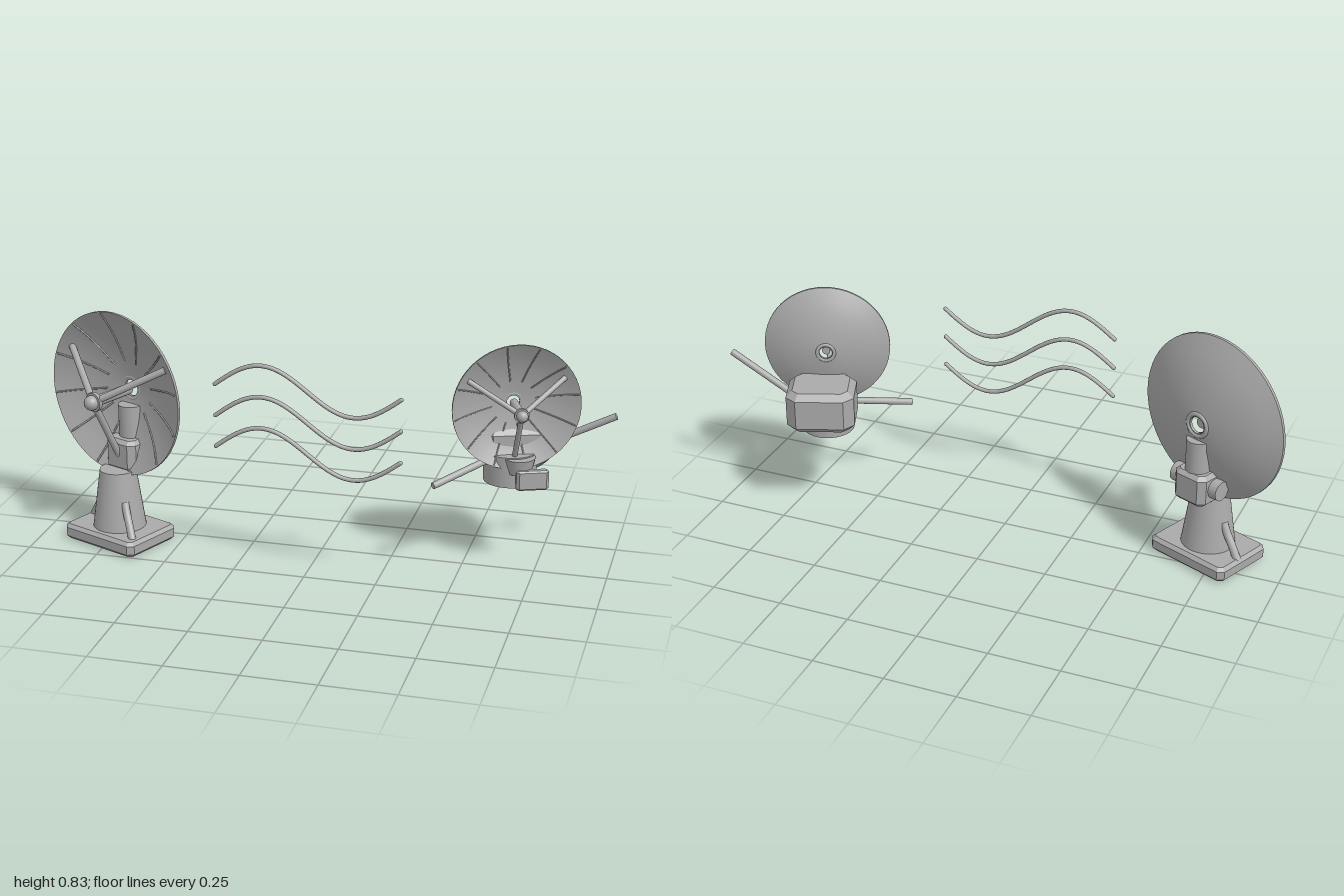
import * as THREE from 'three';
import { toCreasedNormals } from 'three/addons/utils/BufferGeometryUtils.js';

const V = (x, y, z) => new THREE.Vector3(x, y, z);

export function createModel() {
  const metal = new THREE.MeshStandardMaterial({ color: 0xaaaaaa });
  metal.name = 'grey metal';
  const model = new THREE.Group();
  model.name = 'satelliteLink';

  function add(parent, name, geometry, x = 0, y = 0, z = 0) {
    const mesh = new THREE.Mesh(geometry, metal);
    mesh.name = name;
    mesh.position.set(x, y, z);
    parent.add(mesh);
    return mesh;
  }

  function group(name, x, y, z, yaw) {
    const g = new THREE.Group();
    g.name = name;
    g.position.set(x, y, z);
    g.rotation.y = yaw;
    model.add(g);
    return g;
  }

  // Straight round rod between two points
  function rod(parent, name, a, b, r) {
    const mesh = add(parent, name, new THREE.CylinderGeometry(r, r, a.distanceTo(b), 16));
    mesh.position.copy(a).add(b).multiplyScalar(0.5);
    mesh.quaternion.setFromUnitVectors(V(0, 1, 0), b.clone().sub(a).normalize());
    return mesh;
  }

  // Box with every edge cut off at an angle, centred on the origin
  function chamferBox(w, h, d, c) {
    const x = w / 2 - c, y = d / 2 - c;
    const s = new THREE.Shape();
    s.moveTo(-x + c, -y);
    s.lineTo(x - c, -y); s.lineTo(x, -y + c);
    s.lineTo(x, y - c); s.lineTo(x - c, y);
    s.lineTo(-x + c, y); s.lineTo(-x, y - c);
    s.lineTo(-x, -y + c); s.closePath();
    const g = new THREE.ExtrudeGeometry(s, {
      depth: h - 2 * c, bevelEnabled: true, bevelThickness: c, bevelSize: c, bevelSegments: 1
    });
    return g.translate(0, 0, c - h / 2).rotateX(-Math.PI / 2);
  }

  // Bowl profile for a dish of radius 1: radius, depth
  const bowl = [[0.1, -0.29], [0.35, -0.26], [0.6, -0.19], [0.8, -0.11], [1, 0]];

  function dish(name, x, y, z, yaw, radius) {
    const g = group(name, x, y, z, yaw);
    g.scale.setScalar(radius);

    // Thin reflector shell with an open centre
    const back = bowl.map(([r, d]) => new THREE.Vector2(r, d - 0.035));
    const front = bowl.map(([r, d]) => new THREE.Vector2(r, d)).reverse();
    const shell = new THREE.LatheGeometry([...back, ...front, back[0].clone()], 56).rotateX(Math.PI / 2);
    add(g, 'reflector', toCreasedNormals(shell, 0.2));
    add(g, 'hubRing', new THREE.TorusGeometry(0.135, 0.03, 10, 32), 0, 0, -0.31);

    // Radial stiffening ribs on the inside
    for (let i = 0; i < 12; i++) {
      const a = (i + 0.35) * Math.PI / 6;
      const path = new THREE.CatmullRomCurve3(bowl.slice(1).map(([r, d]) =>
        V(r * 0.98 * Math.cos(a), r * 0.98 * Math.sin(a), d)));
      add(g, 'rib', new THREE.TubeGeometry(path, 10, 0.011, 6));
    }

    // Feed horn on a tripod and a central pipe
    const tip = V(0, 0, 0.36);
    for (const deg of [30, 150, 270]) {
      const a = deg * Math.PI / 180;
      rod(g, 'feedStrut', tip, V(0.86 * Math.cos(a), 0.86 * Math.sin(a), -0.085), 0.042);
    }
    rod(g, 'feedPipe', tip, V(0, 0, -0.25), 0.065);
    rod(g, 'feedCollar', V(0, 0, 0.32), V(0, 0, 0.37), 0.115);
    add(g, 'feedHorn', new THREE.SphereGeometry(0.09, 20, 14), 0, 0, 0.39);
  }

  // Ground station: base plate, conical pedestal and mount
  const groundYaw = -0.4;
  const station = group('groundStation', -0.72, 0, 0.088, groundYaw);
  add(station, 'basePlate', chamferBox(0.325, 0.055, 0.245, 0.012), 0, 0.0275, 0);
  add(station, 'pedestal', new THREE.CylinderGeometry(0.064, 0.095, 0.22, 40), 0, 0.155, 0);
  add(station, 'mountHead', chamferBox(0.135, 0.115, 0.13, 0.014), 0, 0.313, -0.065);
  add(station, 'mountColumn', new THREE.CylinderGeometry(0.043, 0.043, 0.2, 32), 0, 0.385, -0.075);
  rod(station, 'trunnion', V(-0.1, 0.317, -0.065), V(0.1, 0.317, -0.065), 0.035);

  // Curved pipes running down from the pedestal to the base
  for (const deg of [53, 210]) {
    const a = deg * Math.PI / 180;
    const path = new THREE.CatmullRomCurve3([[0.148, 0.045], [0.118, 0.09], [0.092, 0.125], [0.072, 0.16]]
      .map(([r, y]) => V(-0.72 + r * Math.cos(a), y, 0.088 + r * Math.sin(a))));
    add(model, 'pedestalPipe', new THREE.TubeGeometry(path, 12, 0.014, 12));
  }
  dish('groundDish', -0.722, 0.541, 0.09, groundYaw, 0.294);

  // Orbiting station: equipment box, drum, panel and two arms
  const orbitYaw = 0.37;
  const body = group('orbiterBody', 0.637, 0, -0.132, orbitYaw);
  add(body, 'equipmentBox', chamferBox(0.236, 0.15, 0.195, 0.022), 0, 0.42, 0);
  add(model, 'drum', new THREE.CylinderGeometry(0.094, 0.09, 0.11, 40), 0.642, 0.355, -0.078);
  add(model, 'collar', new THREE.CylinderGeometry(0.056, 0.042, 0.055, 32), 0.682, 0.378, -0.022);
  add(model, 'frontPanel', chamferBox(0.112, 0.07, 0.03, 0.006), 0.733, 0.336, 0.003).rotation.y = orbitYaw;
  rod(model, 'rightArm', V(0.42, 0.335, 0.14), V(0.62, 0.4, -0.06), 0.012);
  rod(model, 'leftArm', V(0.992, 0.545, -0.118), V(0.68, 0.385, -0.118), 0.012);
  dish('orbiterDish', 0.672, 0.585, -0.004, orbitYaw, 0.22);

  // Three signal waves between the dishes
  for (const y of [0.45, 0.56, 0.67]) {
    const points = [];
    for (let i = 0; i <= 24; i++) {
      const t = i / 24;
      points.push(V(-0.303 + 0.635 * t, y + 0.077 * Math.sin(t * Math.PI * 2), 0.252));
    }
    const wave = new THREE.CatmullRomCurve3(points);
    add(model, 'signalWave', new THREE.TubeGeometry(wave, 64, 0.0075, 10));
    for (const end of [points[0], points[24]]) {
      add(model, 'waveEnd', new THREE.SphereGeometry(0.0075, 10, 8), end.x, end.y, end.z);
    }
  }
  return model;
}
